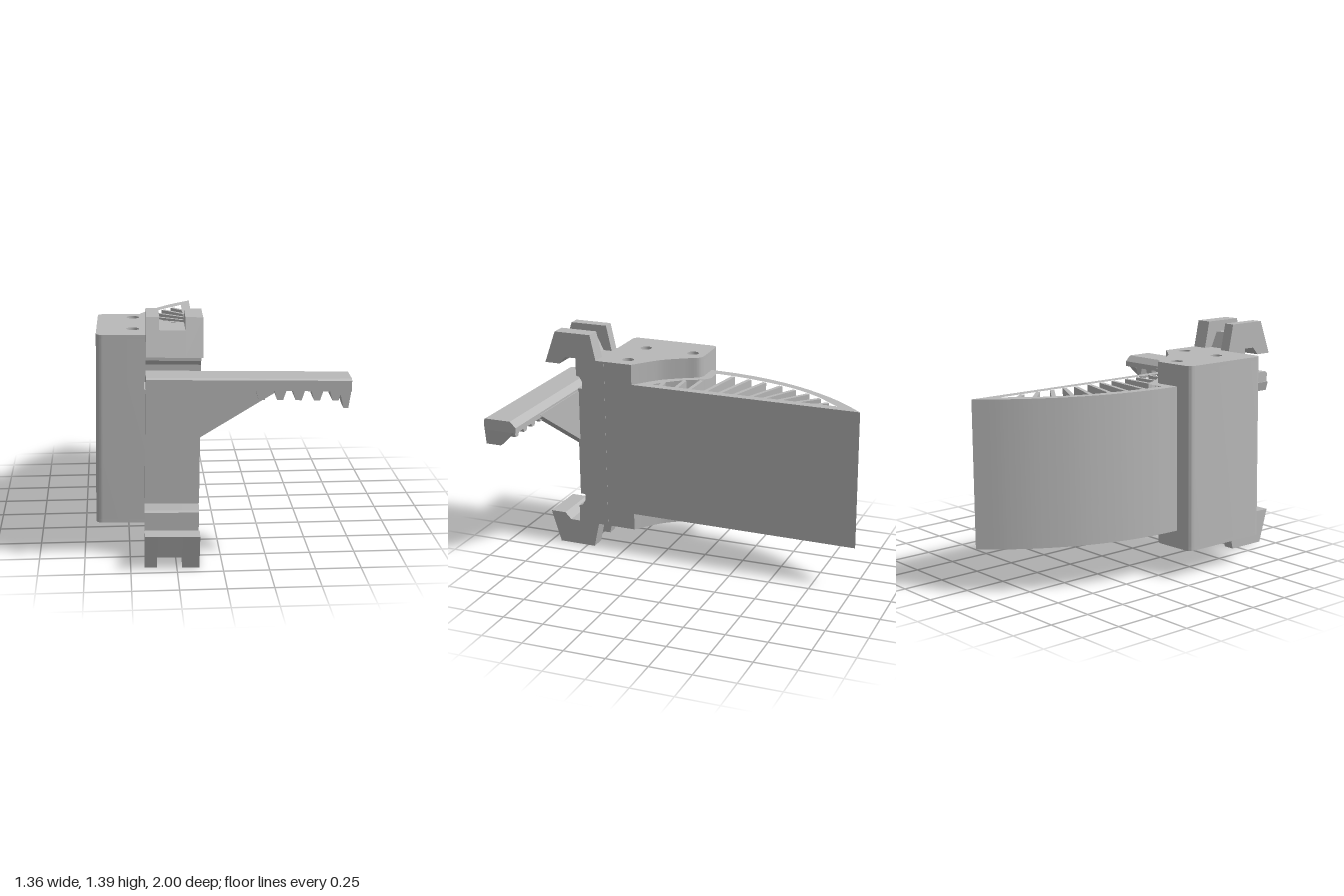
import * as THREE from 'three';
import { toCreasedNormals } from 'three/addons/utils/BufferGeometryUtils.js';

const v2 = (list) => list.map(([a, b]) => new THREE.Vector2(a, b));

export function createModel() {
  const grey = new THREE.MeshStandardMaterial({ color: 0xb8b8b8 });
  grey.name = 'plain grey';

  // All parts are built upright, then leaned slightly about a pivot
  const model = new THREE.Group();
  model.name = 'bracket';
  const lean = new THREE.Group();
  lean.name = 'leaningBody';
  lean.position.set(-0.26, 0.7, 0);
  lean.rotation.set(0, -0.017, -0.017);
  const parts = new THREE.Group();
  parts.name = 'parts';
  parts.position.set(0.26, -0.7, 0);
  lean.add(parts);
  model.add(lean);

  const add = (name, geo) => {
    const mesh = new THREE.Mesh(toCreasedNormals(geo, 0.5), grey);
    mesh.name = name;
    parts.add(mesh);
    return mesh;
  };
  const extrude = (shape, depth) =>
    new THREE.ExtrudeGeometry(shape, { depth, bevelEnabled: false, curveSegments: 10 });
  // (x, z) outline raised from y0 to y1
  const extrudeY = (name, shape, y0, y1) =>
    add(name, extrude(shape, y1 - y0).rotateX(Math.PI / 2).translate(0, y1, 0));
  // (z, y) outline swept from x0 to x1
  const extrudeX = (name, pts, x0, x1) =>
    add(name, extrude(new THREE.Shape(v2(pts)), x1 - x0).rotateY(-Math.PI / 2).translate(x1, 0, 0));
  // (x, y) outline swept from z0 to z1
  const extrudeZ = (name, pts, z0, z1) =>
    add(name, extrude(new THREE.Shape(v2(pts)), z1 - z0).translate(0, 0, z0));

  // Casing: rounded left corners, swept curve at the rear right, three bolt holes
  const casingShape = (holeRadius) => {
    const s = new THREE.Shape();
    s.moveTo(-0.101, 0.645);
    s.lineTo(-0.626, 0.65);
    s.quadraticCurveTo(-0.666, 0.65, -0.666, 0.61);
    s.lineTo(-0.666, 0.125);
    s.quadraticCurveTo(-0.666, 0.085, -0.626, 0.085);
    s.lineTo(-0.42, 0.08);
    s.splineThru(v2([[-0.385, 0.1], [-0.345, 0.17], [-0.27, 0.28], [-0.2, 0.345], [-0.101, 0.42]]));
    for (const [x, z] of [[-0.466, 0.168], [-0.466, 0.483], [-0.196, 0.483]]) {
      const hole = new THREE.Path();
      hole.absarc(x, z, holeRadius, 0, Math.PI * 2, true);
      s.holes.push(hole);
    }
    return s;
  };
  extrudeY('casing', casingShape(0.025), 0.183, 1.213);
  extrudeY('casingTopRim', casingShape(0.036), 1.213, 1.233);
  extrudeY('casingBottomRim', casingShape(0.036), 0.163, 0.183);

  // Blade: straight right wall, curved left wall, hollow between
  const blade = new THREE.Shape();
  blade.moveTo(-0.101, 0.5);
  blade.lineTo(-0.101, -1.003);
  blade.splineThru(v2([[-0.222, -0.87], [-0.329, -0.72], [-0.436, -0.52],
    [-0.512, -0.3], [-0.549, -0.1], [-0.56, 0.07]]));
  blade.lineTo(-0.56, 0.5);
  const hollow = new THREE.Path();
  hollow.moveTo(-0.153, 0.31);
  hollow.lineTo(-0.153, -0.3);
  hollow.lineTo(-0.158, -0.85);
  hollow.splineThru(v2([[-0.205, -0.79], [-0.295, -0.68], [-0.395, -0.49],
    [-0.456, -0.28], [-0.488, -0.1], [-0.497, 0.025]]));
  hollow.lineTo(-0.41, 0.022);
  hollow.quadraticCurveTo(-0.365, 0.03, -0.335, 0.1);
  hollow.quadraticCurveTo(-0.28, 0.21, -0.153, 0.31);
  blade.holes.push(hollow);
  extrudeY('blade', blade, 0.267, 1.108);

  // Ribs: left-wall end, then z of the end on the right wall
  const ribs = [[-0.215, -0.78, -0.69], [-0.275, -0.71, -0.58], [-0.335, -0.62, -0.48],
    [-0.38, -0.52, -0.39], [-0.42, -0.42, -0.31], [-0.452, -0.305, -0.21],
    [-0.475, -0.2, -0.12], [-0.495, -0.085, -0.03], [-0.355, 0.065, 0.07],
    [-0.31, 0.16, 0.155], [-0.23, 0.265, 0.255]];
  for (const [x, z0, z1] of ribs) {
    const dx = -0.14 - x, dz = z1 - z0;
    const rib = add('bladeRib', new THREE.BoxGeometry(Math.hypot(dx, dz), 0.83, 0.024));
    rib.position.set((x - 0.14) / 2, 0.688, (z0 + z1) / 2);
    rib.rotation.y = -Math.atan2(dz, dx);
  }

  // Mount: hooked profile; the middle strip has lower hooks, leaving a notch
  const mountProfile = (topHook, bottomHook) => [
    [0.6, 1.233], ...topHook,
    [0.997, 1.19], [0.9, 1.19], [0.86, 1.235], [0.79, 1.235], [0.79, 1.125],
    [0.77, 1.12], [0.752, 1.095], [0.752, 1.045], [0.785, 1.045],
    [0.785, 0.352], [0.755, 0.352], [0.755, 0.31], [0.775, 0.277], [0.797, 0.272],
    [0.797, 0.165], [0.86, 0.165], [0.9, 0.206], [0.997, 0.206],
    ...bottomHook, [0.6, 0.163],
  ];
  const side = mountProfile(
    [[0.655, 1.233], [0.69, 1.39], [0.925, 1.39]],
    [[0.935, 0.006], [0.7, 0.006], [0.665, 0.163]]);
  const middle = mountProfile(
    [[0.71, 1.233], [0.755, 1.325], [0.949, 1.325]],
    [[0.956, 0.072], [0.76, 0.072], [0.715, 0.163]]);
  extrudeX('mountRight', side, -0.397, -0.33);
  extrudeX('mountMiddle', middle, -0.33, -0.193);
  extrudeX('mountLeft', side, -0.193, -0.1);

  // Arm: long bar with a chamfered rear top edge
  const armFront = 0.983;
  extrudeX('arm', [[0.78, 1.01], [0.78, 1.042], [0.815, 1.077], [0.975, 1.077],
    [armFront, 1.067], [armFront, 1.01]], -0.397, 0.685);

  // Teeth under the arm
  for (let i = 0; i < 11; i++) {
    const x = -0.374 + i * 0.0975;
    extrudeZ('armTooth', [[x - 0.032, 1.015], [x - 0.016, 0.961], [x + 0.016, 0.961],
      [x + 0.032, 1.015]], 0.82, armFront);
  }
  // Longer end tooth: side profile sheared so it narrows downwards
  const endTooth = extrude(new THREE.Shape(v2([[0.795, 1.02], [0.835, 0.975], [0.89, 0.92],
    [armFront, 0.92], [armFront, 1.02]])), 1).rotateY(-Math.PI / 2).translate(1, 0, 0);
  const p = endTooth.attributes.position;
  for (let i = 0; i < p.count; i++) {
    const t = (p.getY(i) - 0.92) / 0.1;
    p.setX(i, p.getX(i) > 0.5 ? 0.67 + 0.014 * t : 0.645 - 0.025 * t);
  }
  endTooth.computeVertexNormals();
  add('armEndTooth', endTooth);

  // Gusset: triangular web bracing the arm
  extrudeZ('gusset', [[-0.397, 0.528], [-0.397, 1.03], [0.4, 1.03]], 0.775, 0.836);

  return model;
}
